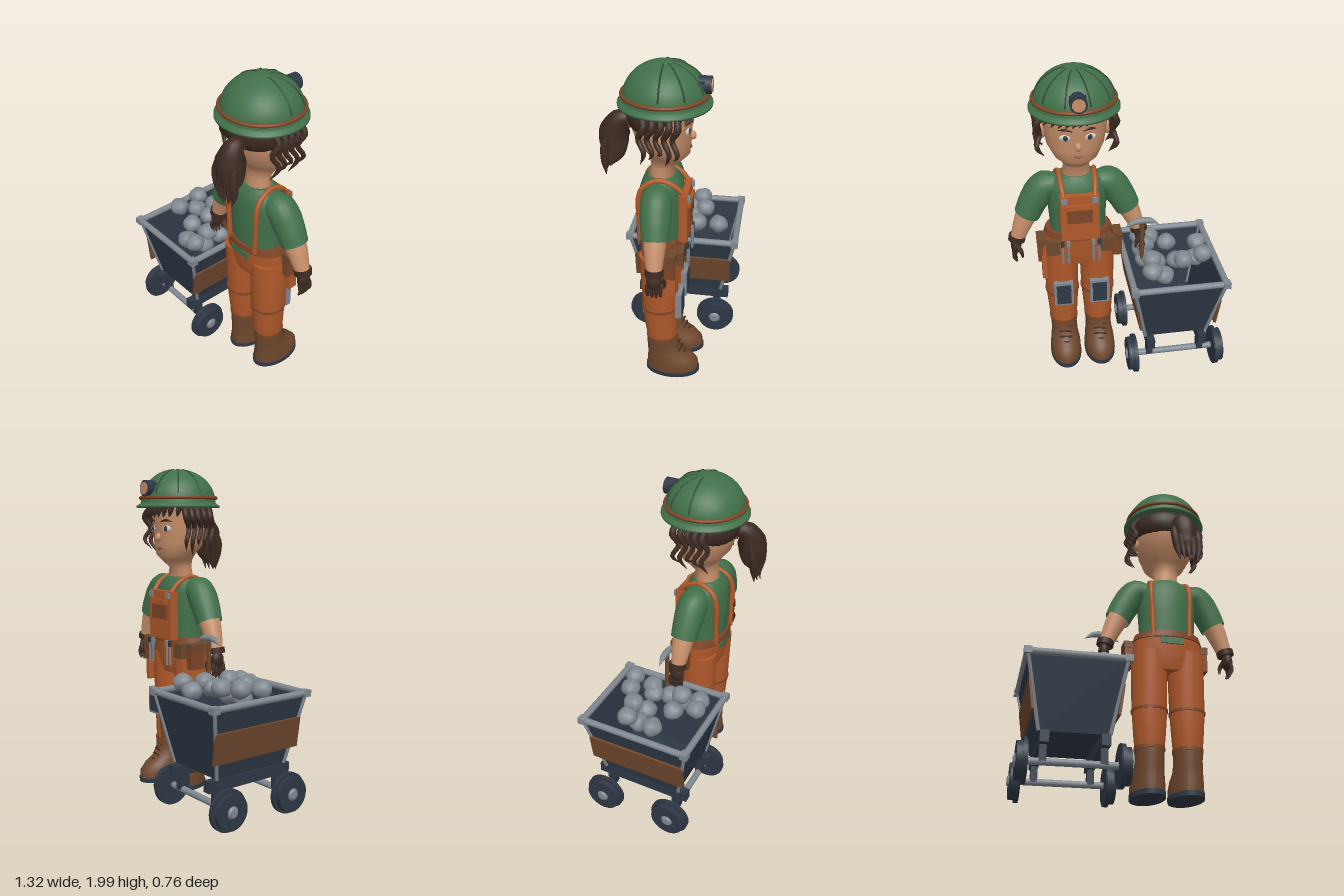
import * as THREE from 'three';
import { mergeVertices } from 'three/addons/utils/BufferGeometryUtils.js';

const material = (name, color, side = THREE.FrontSide) => {
  const m = new THREE.MeshStandardMaterial({ color, side });
  m.name = name;
  return m;
};
const green = material('green', 0x41704a, THREE.DoubleSide);
const darkGreen = material('dark green', 0x28452f);
const orange = material('orange', 0xb0592a);
const leather = material('leather', 0x7e4526);
const brown = material('brown', 0x6e472d);
const darkBrown = material('dark brown', 0x3d2a22);
const skin = material('skin', 0xc68e69);
const slate = material('slate', 0x2e3845, THREE.DoubleSide);
const metal = material('metal', 0x808890);
const white = material('white', 0xd6d2cc);

const V = (p) => new THREE.Vector3(...p);

function add(group, name, geo, mat, pos = [0, 0, 0], rot = [0, 0, 0], scale = [1, 1, 1]) {
  const mesh = new THREE.Mesh(geo, mat);
  mesh.name = name;
  mesh.position.set(...pos);
  mesh.rotation.set(...rot);
  mesh.scale.set(...scale);
  group.add(mesh);
  return mesh;
}
const box = (w, h, d) => new THREE.BoxGeometry(w, h, d);
const rod = (r, h, n = 20) => new THREE.CylinderGeometry(r, r, h, n);
const ball = new THREE.SphereGeometry(1, 24, 16);

// Closed stack of horizontal ellipses; each row is [y, centreX, centreZ, radiusX, radiusZ]
function loft(rows, seg = 28) {
  const cap = (r) => [r[0], r[1], r[2], 0.0005, 0.0005];
  const all = [cap(rows[0]), rows[0], ...rows, rows.at(-1), cap(rows.at(-1))];
  const pos = [], index = [];
  all.forEach(([y, cx, cz, rx, rz], j) => {
    for (let i = 0; i < seg; i++) {
      const a = (i / seg) * Math.PI * 2;
      pos.push(cx + rx * Math.cos(a), y, cz + rz * Math.sin(a));
      if (j === all.length - 1) continue;
      const p = j * seg + i, q = j * seg + (i + 1) % seg;
      if (j !== 1 && j !== all.length - 3) index.push(p, p + seg, q, q, p + seg, q + seg);
    }
  });
  const g = new THREE.BufferGeometry();
  g.setAttribute('position', new THREE.Float32BufferAttribute(pos, 3));
  g.setIndex(index);
  g.computeVertexNormals();
  return g;
}

// Tube along a curve with a radius that varies evenly from end to end
function limb(points, radii, n = 16, sides = 12) {
  const curve = new THREE.CatmullRomCurve3(points.map(V));
  const g = new THREE.TubeGeometry(curve, n, 1, sides);
  const p = g.attributes.position, v = new THREE.Vector3();
  for (let i = 0; i <= n; i++) {
    const c = curve.getPointAt(i / n), t = (i / n) * (radii.length - 1);
    const k = Math.min(Math.floor(t), radii.length - 2);
    const r = THREE.MathUtils.lerp(radii[k], radii[k + 1], t - k);
    for (let j = 0; j <= sides; j++) {
      const id = i * (sides + 1) + j;
      v.fromBufferAttribute(p, id).sub(c).multiplyScalar(r).add(c);
      p.setXYZ(id, v.x, v.y, v.z);
    }
  }
  return g;
}

function rock(r, seed) {
  let g = new THREE.IcosahedronGeometry(r, 3);
  g.deleteAttribute('uv');
  g.deleteAttribute('normal');
  g = mergeVertices(g);
  const p = g.attributes.position, v = new THREE.Vector3();
  for (let i = 0; i < p.count; i++) {
    v.fromBufferAttribute(p, i);
    const k = 1 + 0.05 * Math.sin(v.x * 70 + seed) * Math.sin(v.y * 60 + seed * 2) + 0.04 * Math.sin(v.z * 90 + seed);
    p.setXYZ(i, v.x * k, v.y * k * 0.9, v.z * k);
  }
  g.computeVertexNormals();
  return g;
}

function makeCart() {
  const cart = new THREE.Group();
  cart.name = 'oreCart';
  cart.position.set(-0.35, 0, -0.02);
  // Open tapered bin
  const g = box(1, 0.42, 1), p = g.attributes.position;
  for (let i = 0; i < p.count; i++) {
    const top = p.getY(i) > 0;
    p.setX(i, p.getX(i) * (top ? 0.56 : 0.39));
    p.setZ(i, p.getZ(i) * (top ? 0.67 : 0.5));
  }
  g.computeVertexNormals();
  g.groups.splice(2, 1);
  add(cart, 'bin', g, [slate, slate, slate, slate, slate, slate], [0, 0.5, 0]);
  for (const s of [-1, 1]) {
    add(cart, 'rimSide', rod(0.02, 0.69, 12), metal, [s * 0.28, 0.71, 0], [Math.PI / 2, 0, 0]);
    add(cart, 'rimEnd', rod(0.02, 0.58, 12), metal, [0, 0.71, s * 0.335], [0, 0, Math.PI / 2]);
    for (const t of [-1, 1]) {
      add(cart, 'cornerRail', limb([[s * 0.28, 0.71, t * 0.335], [s * 0.195, 0.29, t * 0.25]], [0.011, 0.011], 2, 8), metal);
      add(cart, 'rimCorner', box(0.045, 0.04, 0.045), metal, [s * 0.28, 0.71, t * 0.335]);
    }
    // Side planks and chassis
    add(cart, 'plank', box(0.015, 0.18, 0.62), brown, [s * 0.247, 0.48, 0], [0, 0, -s * 0.14]);
    add(cart, 'chassisRail', box(0.05, 0.065, 0.6), slate, [s * 0.165, 0.25, 0]);
    add(cart, 'axle', rod(0.02, 0.5), metal, [0, 0.13, s * 0.225], [0, 0, Math.PI / 2]);
    for (const t of [-1, 1]) {
      const wheel = new THREE.Group();
      wheel.name = 'wheel';
      wheel.position.set(s * 0.275, 0.13, t * 0.225);
      wheel.rotation.z = -s * Math.PI / 2;
      add(wheel, 'tread', rod(0.105, 0.06, 32), slate);
      add(wheel, 'flange', rod(0.122, 0.025, 32), slate, [0, -0.015, 0]);
      add(wheel, 'hub', new THREE.CylinderGeometry(0.025, 0.045, 0.02, 16), metal, [0, 0.032, 0]);
      cart.add(wheel);
      add(cart, 'axleBracket', box(0.04, 0.1, 0.05), slate, [s * 0.165, 0.18, t * 0.225]);
    }
  }
  // Ore: [x, y, z] in the cart's frame
  [[0.08, 0.73, -0.21], [0.155, 0.77, -0.22], [-0.19, 0.77, -0.08], [-0.06, 0.76, -0.11], [-0.15, 0.71, -0.03],
    [-0.03, 0.71, -0.04], [0.1, 0.73, -0.06], [0.13, 0.76, -0.08], [-0.19, 0.75, 0.08], [0, 0.74, 0.12], [0.14, 0.75, 0.11],
    [0.09, 0.72, 0.23], [0.16, 0.73, 0.22], [0.16, 0.7, 0.02], [0.16, 0.69, 0.15]]
    .forEach((q, i) => add(cart, 'ore', rock(0.06, i * 1.7), metal, q));
  return cart;
}

function makeHead(body) {
  const head = new THREE.Group();
  head.name = 'head';
  body.add(head);
  add(head, 'face', loft([[1.3, 0, 0.05, 0.09, 0.075], [1.4, 0, 0.045, 0.075, 0.066], [1.445, 0, 0.02, 0.09, 0.095],
    [1.48, 0, 0.01, 0.125, 0.118], [1.55, 0, 0.035, 0.165, 0.15], [1.65, 0, 0.05, 0.183, 0.17], [1.75, 0, 0.05, 0.185, 0.18], [1.79, 0, 0.05, 0.18, 0.17]]), skin);
  add(head, 'nose', ball, skin, [0, 1.587, -0.12], [0.3, 0, 0], [0.02, 0.026, 0.022]);
  add(head, 'mouth', limb([[-0.04, 1.525, -0.104], [0, 1.518, -0.114], [0.04, 1.525, -0.104]], [0, 0.006, 0], 10, 8), leather);
  for (const s of [-1, 1]) {
    add(head, 'eye', ball, white, [s * 0.07, 1.64, -0.106], [0, s * -0.2, 0], [0.033, 0.019, 0.008]);
    add(head, 'iris', ball, slate, [s * 0.068, 1.64, -0.112], [0, s * -0.2, 0], [0.015, 0.016, 0.005]);
    add(head, 'eyebrow', limb([[s * 0.03, 1.682, -0.12], [s * 0.07, 1.692, -0.113], [s * 0.11, 1.68, -0.092]], [0.004, 0.008, 0.001], 8, 8), darkBrown);
    add(head, 'ear', ball, skin, [s * 0.185, 1.62, 0.05], [0, 0, 0], [0.02, 0.045, 0.03]);
    // Wavy locks beside the face
    for (let i = 0; i < 5; i++) {
      const z = 0.12 - i * 0.045, end = 1.48 + (i % 3) * 0.03;
      add(head, 'sideLock', limb([[s * 0.18, 1.77, z], [s * 0.222, 1.71, z - 0.012], [s * 0.205, 1.64, z + 0.02],
        [s * 0.225, 1.57, z - 0.012], [s * 0.185, end, z + 0.015]], [0.016, 0.02, 0.015, 0.013, 0.001]), darkBrown);
    }
  }
  // Hair cap, fringe and ponytail
  add(head, 'hair', ball, darkBrown, [0, 1.72, 0.075], [0, 0, 0], [0.2, 0.145, 0.168]);
  for (let i = -4; i <= 4; i++) {
    const x = i * 0.038, z = 0.05 - 0.178 * Math.sqrt(1 - (x / 0.2) ** 2);
    add(head, 'fringe', limb([[x, 1.785, z], [x + 0.01, 1.74, z - 0.008], [x + 0.03, 1.705, z - 0.002]], [0.018, 0.016, 0.001], 8, 8), darkBrown);
  }
  add(head, 'ponytail', limb([[0.03, 1.67, 0.2], [0.05, 1.68, 0.265], [0.06, 1.6, 0.3], [0.07, 1.5, 0.3], [0.08, 1.41, 0.33]],
    [0.03, 0.055, 0.085, 0.08, 0.055, 0.01], 24, 18), darkBrown);
  for (let i = -2; i <= 2; i++)
    add(head, 'ponytailStrand', limb([[0.055 + i * 0.03, 1.64, 0.31], [0.06 + i * 0.036, 1.54, 0.34], [0.07 + i * 0.034, 1.45, 0.34],
      [0.07 + i * 0.025, 1.37, 0.36 - Math.abs(i) * 0.01]], [0.012, 0.024, 0.022, 0.001]), darkBrown);
  add(head, 'hairTie', new THREE.TorusGeometry(0.033, 0.012, 10, 20), leather, [0.033, 1.67, 0.215]);

  // Helmet with band, ribs and lamp
  const prof = [[0.001, 1.785], [0.2, 1.778], [0.257, 1.766], [0.257, 1.778], [0.236, 1.79]];
  for (let i = 0; i <= 10; i++) {
    const a = (i / 10) * Math.PI / 2;
    prof.push([Math.max(0.0005, 0.23 * Math.cos(a)), 1.8 + 0.2 * Math.sin(a)]);
  }
  add(head, 'helmet', new THREE.LatheGeometry(prof.map((q) => new THREE.Vector2(...q)), 48), green, [0, 0, 0.03]);
  add(head, 'helmetBand', new THREE.TorusGeometry(0.232, 0.011, 10, 48), leather, [0, 1.825, 0.03], [Math.PI / 2, 0, 0]);
  for (let k = 0; k < 6; k++) {
    const a = (k / 5) * Math.PI, pts = [];
    for (let i = 1; i <= 7; i++) {
      const e = Math.PI / 2 - i * 0.19, r = 0.23 * Math.cos(e);
      pts.push([r * Math.cos(a), 1.8 + 0.2 * Math.sin(e), 0.03 - r * Math.sin(a)]);
    }
    add(head, 'helmetRib', limb(pts, [0.003, 0.005, 0.005], 12, 6), darkGreen);
  }
  add(head, 'lampMount', box(0.09, 0.07, 0.05), slate, [0, 1.875, -0.16]);
  add(head, 'lamp', rod(0.048, 0.07, 24), slate, [0, 1.88, -0.185], [Math.PI / 2, 0, 0]);
  add(head, 'lampLens', rod(0.036, 0.008, 24), skin, [0, 1.88, -0.222], [Math.PI / 2, 0, 0]);
}

function makeMiner() {
  const body = new THREE.Group();
  body.name = 'miner';
  body.position.x = 0.22;
  makeHead(body);
  add(body, 'shirt', loft([[0.9, 0, 0.05, 0.18, 0.12], [0.98, 0, 0.05, 0.168, 0.122], [1.1, 0, 0.05, 0.175, 0.13], [1.25, 0, 0.05, 0.187, 0.128],
    [1.31, 0, 0.05, 0.165, 0.108], [1.345, 0, 0.05, 0.1, 0.08]]), green);
  add(body, 'hips', loft([[0.74, 0, 0.05, 0.17, 0.1], [0.82, 0, 0.05, 0.218, 0.122], [0.94, 0, 0.05, 0.205, 0.13]]), orange);
  add(body, 'belt', loft([[0.935, 0, 0.05, 0.213, 0.14], [0.975, 0, 0.05, 0.2, 0.138]]), leather);
  add(body, 'shirtTail', box(0.14, 0.04, 0.01), green, [0, 0.91, 0.182]);
  // Bib
  add(body, 'bib', box(0.23, 0.3, 0.05), orange, [0, 1.11, -0.085]);
  add(body, 'bibPocket', box(0.15, 0.11, 0.015), leather, [0, 1.14, -0.115]);
  add(body, 'pocketFlap', box(0.16, 0.03, 0.02), orange, [0, 1.19, -0.116]);
  for (const s of [-1, 1]) {
    add(body, 'strap', limb([[s * 0.09, 1.24, -0.1], [s * 0.1, 1.31, -0.04], [s * 0.105, 1.345, 0.05], [s * 0.115, 1.3, 0.14],
      [s * 0.12, 1.23, 0.165], [s * 0.115, 1.1, 0.165], [s * 0.11, 0.95, 0.165]], [0.015, 0.015], 28), orange);
    add(body, 'buckle', box(0.035, 0.035, 0.015), metal, [s * 0.09, 1.235, -0.116]);
    // Arms and gloves
    add(body, 'sleeve', limb([[s * 0.11, 1.265, 0.05], [s * 0.19, 1.262, 0.05], [s * 0.255, 1.18, 0.045], [s * 0.305, 1.08, 0.04]],
      [0.06, 0.088, 0.09, 0.084, 0.078], 20, 20), green);
    add(body, 'forearm', limb([[s * 0.25, 1.18, 0.045], [s * 0.32, 1.05, 0.04], [s * 0.375, 0.91, 0.035]], [0.07, 0.062, 0.042], 14, 18), skin);
    add(body, 'gloveCuff', rod(0.052, 0.035, 20), darkBrown, [s * 0.375, 0.92, 0.035], [0, 0, s * 0.2]);
    add(body, 'palm', ball, darkBrown, [s * 0.385, 0.865, 0.035], [0, 0, 0], [0.032, 0.055, 0.043]);
    for (let i = 0; i < 4; i++) {
      const z = 0.07 - i * 0.024;
      add(body, 'finger', limb([[s * 0.39, 0.85, z], [s * 0.4, 0.8, z], [s * 0.385, 0.755 + Math.abs(i - 1.5) * 0.008, z]], [0.013, 0.013, 0.006], 8, 8), darkBrown);
    }
    add(body, 'thumb', limb([[s * 0.375, 0.88, 0], [s * 0.355, 0.84, -0.018], [s * 0.35, 0.8, -0.015]], [0.015, 0.014, 0.005], 8, 8), darkBrown);
    // Trouser legs and knee pads
    const x = s * 0.113;
    add(body, 'trouserLeg', loft([[0.27, x, 0.04, 0.084, 0.09], [0.35, x, 0.045, 0.092, 0.097], [0.5, x, 0.05, 0.103, 0.105],
      [0.7, x, 0.05, 0.107, 0.113], [0.86, x, 0.05, 0.106, 0.12]]), orange);
    add(body, 'trouserCuff', loft([[0.27, x, 0.04, 0.09, 0.096], [0.29, x, 0.04, 0.09, 0.096]]), leather);
    add(body, 'kneeStrap', loft([[0.495, x, 0.05, 0.108, 0.11], [0.51, x, 0.05, 0.108, 0.11]]), leather);
    add(body, 'kneePad', box(0.12, 0.17, 0.035), metal, [x, 0.535, -0.068]);
    add(body, 'kneePadInset', box(0.09, 0.14, 0.008), slate, [x, 0.535, -0.087]);
    // Boots
    add(body, 'boot', loft([[0.03, x, -0.025, 0.097, 0.16], [0.08, x, -0.025, 0.098, 0.16], [0.12, x, -0.01, 0.094, 0.14],
      [0.16, x, 0.022, 0.086, 0.108], [0.22, x, 0.038, 0.083, 0.095], [0.275, x, 0.04, 0.087, 0.093]]), brown);
    add(body, 'sole', loft([[0.01, x, -0.025, 0.1, 0.168], [0.038, x, -0.025, 0.101, 0.168]]), slate);
    for (let i = 0; i < 4; i++)
      add(body, 'lace', limb([[x - 0.04, 0.14 + i * 0.032, -0.092 + i * 0.014], [x, 0.15 + i * 0.032, -0.098 + i * 0.018],
        [x + 0.04, 0.14 + i * 0.032, -0.085 + i * 0.018]], [0.006, 0.006], 6, 6), darkBrown);
    // Pouches and hanging tools
    add(body, 'sidePouch', box(0.05, 0.15, 0.1), leather, [s * 0.232, 0.865, -0.01]);
    add(body, 'pouchFlap', box(0.056, 0.045, 0.106), brown, [s * 0.232, 0.925, -0.01]);
    add(body, 'frontPouch', box(0.08, 0.09, 0.05), brown, [s * 0.165, 0.9, -0.075]);
    for (const dx of [0.075, 0.11]) {
      add(body, 'toolShaft', rod(0.007, 0.13, 10), metal, [s * dx, 0.87, -0.115]);
      add(body, 'toolHead', box(0.022, 0.035, 0.016), dx > 0.1 ? slate : metal, [s * dx, 0.94, -0.115]);
    }
  }
  add(body, 'holster', box(0.03, 0.24, 0.06), orange, [0.222, 0.78, -0.03]);
  // Pickaxe in the hand over the cart
  add(body, 'pickHandle', limb([[-0.385, 1, -0.03], [-0.39, 0.7, -0.03]], [0.014, 0.014], 2, 10), brown);
  add(body, 'pickHead', limb([[-0.49, 0.97, -0.03], [-0.44, 1.0, -0.03], [-0.385, 1.005, -0.03], [-0.33, 0.995, -0.03], [-0.28, 0.965, -0.03]],
    [0.001, 0.018, 0.021, 0.018, 0.001]), metal);
  return body;
}

export function createModel() {
  const model = new THREE.Group();
  model.name = 'minerWithOreCart';
  model.add(makeCart(), makeMiner());
  return model;
}
